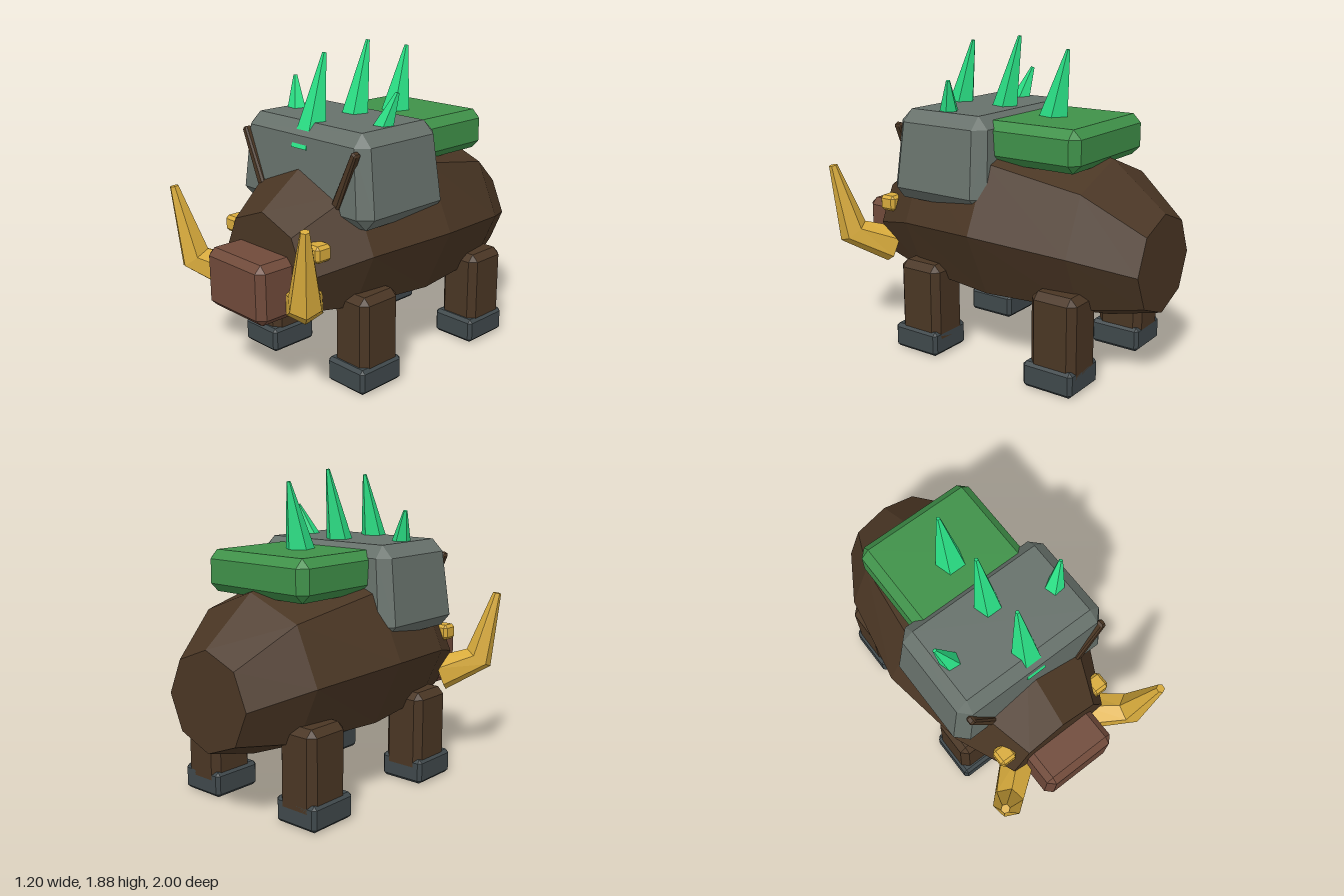
import * as THREE from 'three';
import { ConvexGeometry } from 'three/addons/geometries/ConvexGeometry.js';

const V = (x, y, z) => new THREE.Vector3(x, y, z);
const UP = V(0, 1, 0);

function material(name, color) {
  const m = new THREE.MeshStandardMaterial({ color });
  m.name = name;
  return m;
}

// Box with bevelled edges; its top can be narrowed by taper factors
function bevelBox(w, h, d, bevel, taperX = 1, taperZ = 1) {
  const points = [];
  for (const sx of [-1, 1]) for (const sy of [-1, 1]) for (const sz of [-1, 1]) {
    for (let axis = 0; axis < 3; axis++) {
      const inset = [bevel, bevel, bevel];
      inset[axis] = 0;
      const p = V(sx * (w / 2 - inset[0]), sy * (h / 2 - inset[1]), sz * (d / 2 - inset[2]));
      const t = p.y / h + 0.5;
      p.x *= 1 + (taperX - 1) * t;
      p.z *= 1 + (taperZ - 1) * t;
      points.push(p);
    }
  }
  return new ConvexGeometry(points);
}

// Elliptical ring of points facing along dir
function ring(center, u, v, ru, rv, sides) {
  return Array.from({ length: sides }, (_, i) => {
    const a = (i / sides) * Math.PI * 2;
    return center.clone().addScaledVector(u, Math.cos(a) * ru).addScaledVector(v, Math.sin(a) * rv);
  });
}

// Faceted, capped skin over a row of rings
function loft(rings) {
  const tris = [];
  const n = rings[0].length;
  for (let i = 0; i < rings.length - 1; i++) {
    for (let j = 0; j < n; j++) {
      const k = (j + 1) % n;
      const [a, b, c, d] = [rings[i][j], rings[i][k], rings[i + 1][k], rings[i + 1][j]];
      tris.push(a, b, c, a, c, d);
    }
  }
  const first = rings[0], last = rings[rings.length - 1];
  for (let j = 1; j < n - 1; j++) {
    tris.push(first[0], first[j + 1], first[j], last[0], last[j], last[j + 1]);
  }
  const g = new THREE.BufferGeometry().setFromPoints(tris);
  g.computeVertexNormals();
  return g;
}

export function createModel() {
  const model = new THREE.Group();
  const hide = material('dark brown hide', 0x4a3624);
  const snoutSkin = material('reddish snout', 0x704a3a);
  const stone = material('grey stone', 0x67716b);
  const moss = material('moss green', 0x3f9149);
  const crystal = material('bright green crystal', 0x2ae085);
  const ivory = material('golden ivory', 0xd8ab3c);
  const hoofHorn = material('slate hoof', 0x3f484b);

  const add = (name, geometry, mat, x = 0, y = 0, z = 0) => {
    const mesh = new THREE.Mesh(geometry, mat);
    mesh.name = name;
    mesh.position.set(x, y, z);
    model.add(mesh);
    return mesh;
  };

  // Barrel body: z, centre height, half width, half height
  const sections = [
    [-1.0, 0.685, 0.30, 0.285],
    [-0.67, 0.775, 0.49, 0.46],
    [-0.1, 0.83, 0.60, 0.54],
    [0.43, 0.80, 0.51, 0.47],
    [0.78, 0.71, 0.34, 0.31],
  ];
  add('body', loft(sections.map(([z, y, w, h]) => ring(V(0, y, z), V(1, 0, 0), UP, w, h, 8))), hide);

  add('snout', bevelBox(0.48, 0.345, 0.32, 0.04), snoutSkin, 0, 0.64, 0.84);

  // Back armour and moss slab
  add('shoulderArmor', bevelBox(1.1, 0.52, 0.68, 0.07, 0.88, 0.9), stone, 0, 1.21, 0.19);
  add('mossSlab', bevelBox(0.76, 0.24, 0.64, 0.05), moss, 0, 1.32, -0.34);

  // Five-sided spikes, leaning from base to tip
  const spike = (name, base, tip, radius) => {
    const dir = tip.clone().sub(base);
    const g = new THREE.CylinderGeometry(0.012, radius, dir.length(), 5).toNonIndexed();
    g.rotateY(Math.PI);
    g.computeVertexNormals();
    const mid = base.clone().add(tip).multiplyScalar(0.5);
    add(name, g, crystal, mid.x, mid.y, mid.z).quaternion.setFromUnitVectors(UP, dir.normalize());
  };
  spike('frontSpike', V(0, 1.31, 0.43), V(0, 1.84, 0.305), 0.105);
  spike('middleSpike', V(0, 1.4, 0.08), V(0, 1.88, -0.035), 0.09);
  spike('rearSpike', V(0, 1.37, -0.265), V(0, 1.82, -0.365), 0.1);

  for (const [side, s] of [['left', 1], ['right', -1]]) {
    spike(side + 'Spike', V(s * 0.345, 1.41, 0.215), V(s * 0.42, 1.65, 0.16), 0.07);

    // Legs and hooves
    for (const [end, z] of [['Front', 0.355], ['Back', -0.59]]) {
      add(side + end + 'Leg', bevelBox(0.26, 0.5, 0.29, 0.04), hide, s * 0.378, 0.31, z);
      add(side + end + 'Hoof', bevelBox(0.29, 0.15, 0.32, 0.02), hoofHorn, s * 0.378, 0.075, z + 0.015);
    }

    add(side + 'Eye', bevelBox(0.11, 0.095, 0.11, 0.018), ivory, s * 0.347, 0.855, 0.685);

    // Thin ear leaning outward
    const ear = add(side + 'Ear', bevelBox(0.06, 0.4, 0.06, 0.012, 0.65, 0.8), hide, s * 0.375, 1.2, 0.51);
    ear.rotation.z = -s * 0.43;

    // Tusk bent up at the elbow: centre, direction, radius
    const stations = [
      [V(0.29, 0.56, 0.74), V(0.75, 0.35, 0.55), 0.115],
      [V(0.48, 0.665, 0.9), V(0.45, 0.8, 0.35), 0.095],
      [V(0.563, 1.09, 0.963), V(0.15, 0.98, 0.12), 0.026],
    ];
    add(side + 'Tusk', loft(stations.map(([c, d, r]) => {
      c.x *= s;
      d.x *= s;
      d.normalize();
      const u = V(s * 0.55, 0, -0.75).cross(d).normalize();
      return ring(c, u, d.clone().cross(u), r, r, 6);
    })), ivory);
  }
  return model;
}
